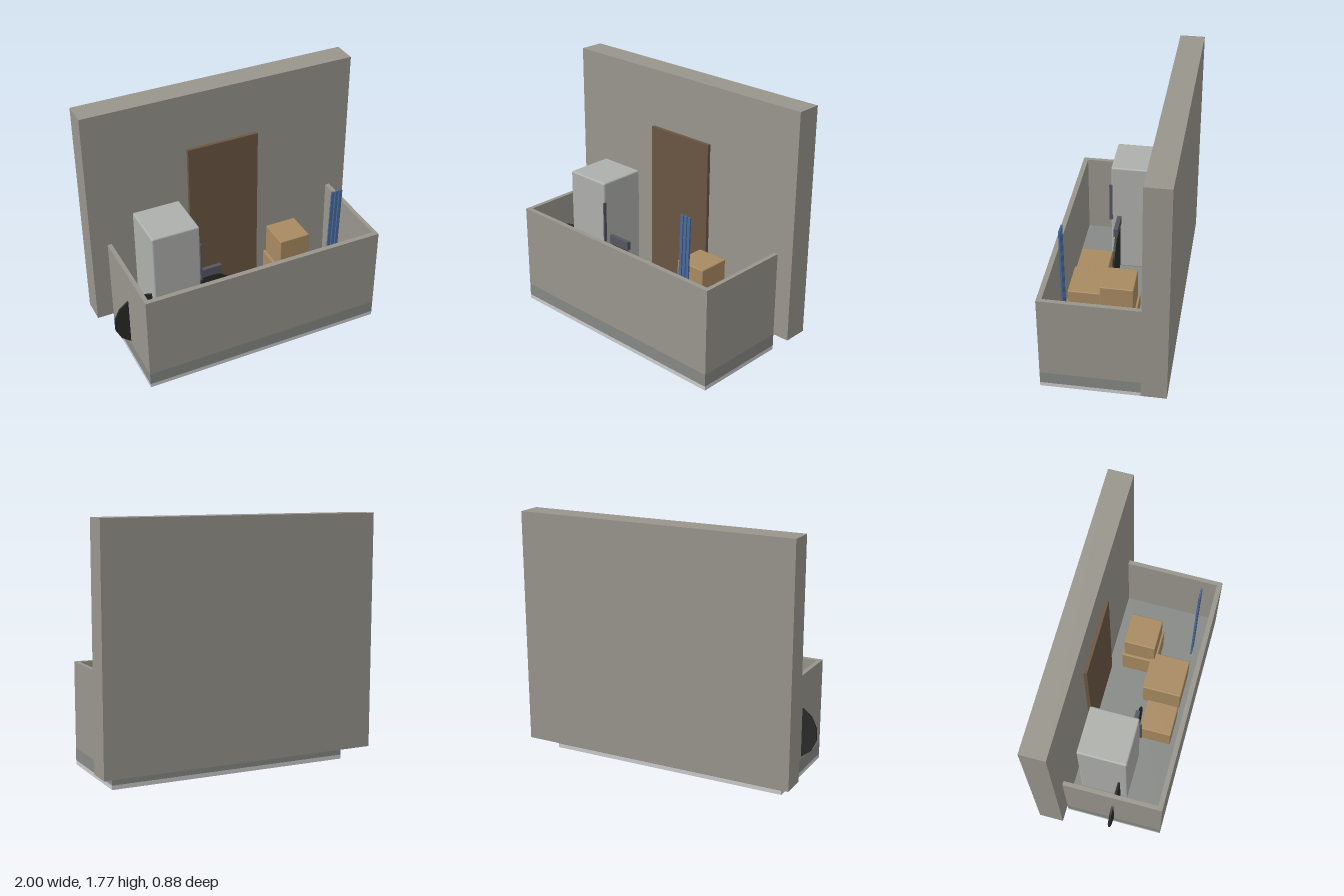
import * as THREE from 'three';
import { RoundedBoxGeometry } from 'three/addons/geometries/RoundedBoxGeometry.js';

const mat = (color) => new THREE.MeshStandardMaterial({ color });
const concrete = mat(0x98958c), floorGrey = mat(0x868985), slabGrey = mat(0xc0c0c0);
const wood = mat(0x6a5642), cardboard = mat(0xa88a62), enamel = mat(0xaeb0ac);
const rubber = mat(0x2a2a2a), metal = mat(0x55565f), blue = mat(0x4a6a9c);

export function createModel() {
  const model = new THREE.Group();

  const add = (parent, name, geometry, material) => {
    const mesh = new THREE.Mesh(geometry, material);
    mesh.name = name;
    parent.add(mesh);
    return mesh;
  };

  // Box given by its min and max on each axis; a bevel rounds its edges
  const box = (name, material, [x0, x1], [y0, y1], [z0, z1], bevel = 0, parent = model) => {
    const size = [x1 - x0, y1 - y0, z1 - z0];
    const geometry = bevel
      ? new RoundedBoxGeometry(...size, 2, bevel)
      : new THREE.BoxGeometry(...size);
    const mesh = add(parent, name, geometry, material);
    mesh.position.set((x0 + x1) / 2, (y0 + y1) / 2, (z0 + z1) / 2);
    return mesh;
  };

  const group = (name) => {
    const g = new THREE.Group();
    g.name = name;
    model.add(g);
    return g;
  };

  // House wall and door
  box('houseWall', concrete, [-1, 1], [0.12, 1.77], [-0.44, -0.265]);
  box('door', wood, [-0.265, 0.265], [0.12, 1.355], [-0.265, -0.24]);

  // Balcony slab, floor and parapets
  box('slab', slabGrey, [-0.88, 0.88], [0, 0.03], [-0.265, 0.44]);
  box('floor', floorGrey, [-0.88, 0.88], [0.03, 0.12], [-0.265, 0.44]);
  box('frontParapet', concrete, [-0.88, 0.88], [0.12, 0.74], [0.405, 0.44]);
  box('rightParapet', concrete, [-0.88, -0.85], [0.12, 0.74], [-0.265, 0.405]);
  box('leftParapet', concrete, [0.85, 0.88], [0.12, 0.74], [-0.265, 0.405]);

  // Fridge with a handle on its door
  const fridge = group('fridge');
  box('fridgeBody', enamel, [-0.705, -0.36], [0.12, 1], [-0.205, 0.145], 0.012, fridge);
  box('fridgeHandle', metal, [-0.362, -0.352], [0.55, 0.855], [0.135, 0.158], 0, fridge);

  // Bicycle: two solid wheels, frame and seat
  const bicycle = group('bicycle');
  for (const [name, x] of [['rightWheel', -0.79], ['leftWheel', -0.27]]) {
    const wheel = new THREE.CylinderGeometry(0.2, 0.2, 0.015, 14).rotateX(Math.PI / 2);
    add(bicycle, name, wheel.toNonIndexed(), rubber).position.set(x, 0.32, 0.085);
  }
  box('bicycleFrame', metal, [-0.68, -0.27], [0.46, 0.48], [0.079, 0.091], 0, bicycle);
  box('bicycleSeat', metal, [-0.36, -0.18], [0.52, 0.585], [0.07, 0.1], 0, bicycle);

  // Cardboard boxes, two of them stacked
  const boxes = group('cardboardBoxes');
  for (const [name, size, x, y, z] of [
    ['smallBox', 0.232, -0.118, 0.12, 0.23],
    ['largeBox', 0.288, 0.203, 0.12, 0.2],
    ['lowerBox', 0.262, 0.41, 0.12, -0.032],
    ['upperBox', 0.232, 0.41, 0.382, -0.032],
  ]) {
    const geometry = new RoundedBoxGeometry(size, size, size, 2, 0.007);
    add(boxes, name, geometry, cardboard).position.set(x, y + size / 2, z);
  }

  // Three skis leaning slightly against each other
  const skis = group('skis');
  for (let i = 0; i < 3; i++) {
    const ski = box('ski', blue, [-0.011, 0.011], [-0.5, 0.5], [-0.006, 0.006], 0, skis);
    ski.position.set(0.542 + i * 0.03, 0.62, 0.323);
    ski.rotation.z = -0.027;
  }

  return model;
}
